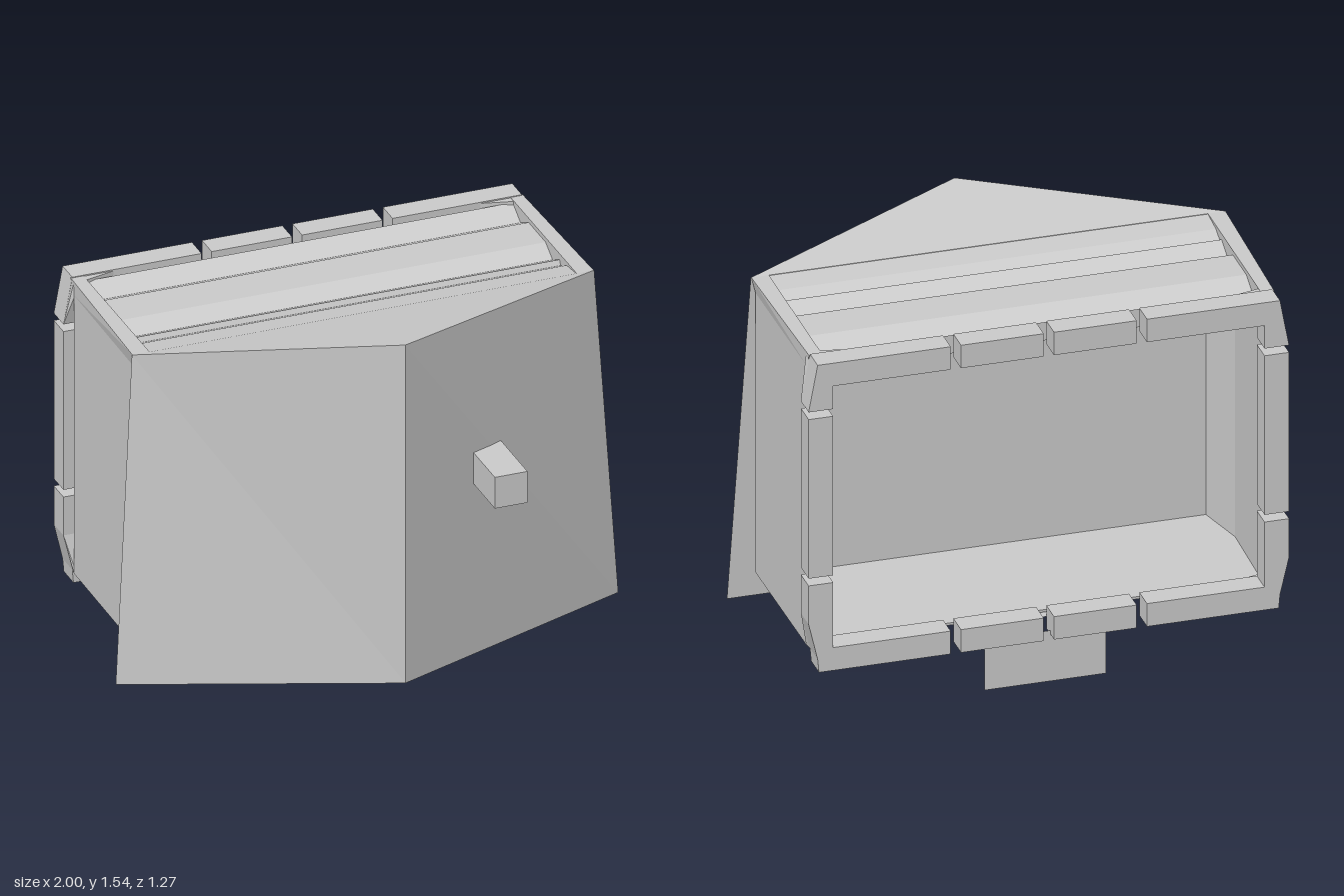
import * as THREE from 'three';
import { ConvexGeometry } from 'three/addons/geometries/ConvexGeometry.js';

const material = new THREE.MeshStandardMaterial({ color: 0xcccccc, flatShading: true });
const thin = new THREE.MeshStandardMaterial({ color: 0xcccccc, flatShading: true, side: THREE.DoubleSide });

export function createModel() {
  const model = new THREE.Group();

  const add = (name, geometry, mat = material) => {
    const mesh = new THREE.Mesh(geometry, mat);
    mesh.name = name;
    model.add(mesh);
    return mesh;
  };
  const block = (name, x0, x1, y0, y1, z0, z1) =>
    add(name, new THREE.BoxGeometry(x1 - x0, y1 - y0, z1 - z0))
      .position.set((x0 + x1) / 2, (y0 + y1) / 2, (z0 + z1) / 2);
  const extrude = (points, depth) => new THREE.ExtrudeGeometry(
    new THREE.Shape(points.map(([x, y]) => new THREE.Vector2(x, y))),
    { depth, bevelEnabled: false });
  // Rear frame piece outlined in x and y on one side of the model
  const framePiece = (name, points, side) => {
    const outline = points.map(([x, y]) => [x * side, y]);
    add(name, extrude(outline, 0.097)).position.z = -0.637;
  };
  // Convex solid around corner points on one side of the model
  const hull = (name, points, side) =>
    add(name, new ConvexGeometry(points.map(([x, y, z]) => new THREE.Vector3(x * side, y, z))));
  // Flat sheet facing down under the floor
  const sheet = (name, width, length, x, y, z) => {
    const mesh = add(name, new THREE.PlaneGeometry(width, length), thin);
    mesh.rotation.x = Math.PI / 2;
    mesh.position.set(x, y, z);
  };

  // Wedge-shaped front shield: top triangle, bottom triangle, three sides
  const top = [[-0.92, 1.47, 0.12], [0, 1.54, 0.545], [0.92, 1.47, 0.12]];
  const bottom = [[-1, 0.13, 0.16], [0, 0.13, 0.545], [1, 0.13, 0.16]];
  const shield = new THREE.BufferGeometry();
  shield.setAttribute('position', new THREE.Float32BufferAttribute([...top, ...bottom].flat(), 3));
  const faces = [0, 1, 2, 3, 5, 4];
  for (let i = 0; i < 3; i++) {
    const j = (i + 1) % 3;
    faces.push(i, i + 3, j + 3, i, j + 3, j);
  }
  shield.setIndex(faces);
  const shieldFlat = shield.toNonIndexed();
  shieldFlat.computeVertexNormals();
  add('frontShield', shieldFlat);

  block('peg', 0.32, 0.45, 0.84, 0.97, 0.37, 0.635);

  // Side and front walls: a U-shaped plan with slanted inner corners
  const walls = extrude([
    [-0.9, 0.51], [-0.905, -0.11], [0.905, -0.11], [0.9, 0.51],
    [0.86, 0.51], [0.87, 0.155], [0.82, -0.05],
    [-0.82, -0.05], [-0.87, 0.155], [-0.86, 0.51],
  ], 1.16);
  walls.rotateX(-Math.PI / 2);
  add('walls', walls).position.y = 0.25;
  block('floor', -0.9, 0.9, 0.25, 0.26, -0.515, 0.1);

  // Grooved roof, a profile in depth and height drawn across the width
  const roof = extrude([
    [-0.1, 1.38], [0.52, 1.38], [0.52, 1.455], [0.44, 1.41], [0.36, 1.45],
    [0.19, 1.45], [0.12, 1.41], [0.05, 1.445], [0.04, 1.425],
    [-0.02, 1.455], [-0.12, 1.468],
  ], 1.7);
  roof.rotateY(Math.PI / 2);
  add('groovedRoof', roof).position.x = -0.85;

  // Parts repeated on both sides
  for (const s of [-1, 1]) {
    // Top rail, flaring outwards towards the shield
    hull('topRail', [
      [0.85, 1.47, 0.12], [0.918, 1.47, 0.12], [0.905, 1.41, 0.11], [0.85, 1.41, 0.11],
      [0.85, 1.467, -0.545], [0.9, 1.467, -0.545], [0.9, 1.41, -0.52], [0.85, 1.41, -0.52],
    ], s);

    // Segmented rear frame
    framePiece('upperFrameCorner', [
      [0.38, 1.47], [0.895, 1.47], [0.93, 1.28], [0.835, 1.28], [0.835, 1.375], [0.38, 1.375],
    ], s);
    framePiece('lowerFrameCorner', [
      [0.38, 0.195], [0.89, 0.195], [0.895, 0.25], [0.93, 0.4], [0.93, 0.56],
      [0.835, 0.56], [0.835, 0.29], [0.38, 0.29],
    ], s);
    framePiece('sideFrameSegment', [
      [0.835, 0.59], [0.93, 0.59], [0.93, 1.25], [0.835, 1.25],
    ], s);
    const [x0, x1] = s > 0 ? [0.02, 0.34] : [-0.34, -0.02];
    block('topFrameSegment', x0, x1, 1.375, 1.47, -0.637, -0.54);
    block('bottomFrameSegment', x0, x1, 0.195, 0.29, -0.637, -0.54);

    // Tapered brackets joining the frame to the walls: edge, inside, far end
    for (const [edge, inside, far] of [[1.465, 1.4, 1.28], [0.25, 0.28, 0.4]]) {
      hull('uprightBracket', [
        [0.9, edge, -0.51], [0.9, inside, -0.51], [0.85, inside, -0.51],
        [0.895, edge, -0.54], [0.84, edge, -0.54], [0.93, far, -0.54], [0.84, far, -0.54],
      ], s);
      hull('levelBracket', [
        [0.9, edge, -0.51], [0.85, edge, -0.51], [0.85, inside, -0.51],
        [0.895, edge, -0.54], [0.73, edge, -0.54], [0.73, inside, -0.54], [0.85, inside, -0.54],
      ], s);
    }

    // Small pads under the floor
    sheet('underPad', 0.2, 0.08, 0.52 * s, 0.225, -0.25);
    sheet('underPadBase', 0.3, 0.17, 0.52 * s, 0.246, -0.24);
  }

  // Central panel under the floor and the hanging plate at the rear
  sheet('underPanel', 0.27, 0.53, 0, 0.246, -0.28);
  add('hangingPlate', new THREE.PlaneGeometry(0.47, 0.21), thin).position.set(0, 0.105, -0.59);

  return model;
}
